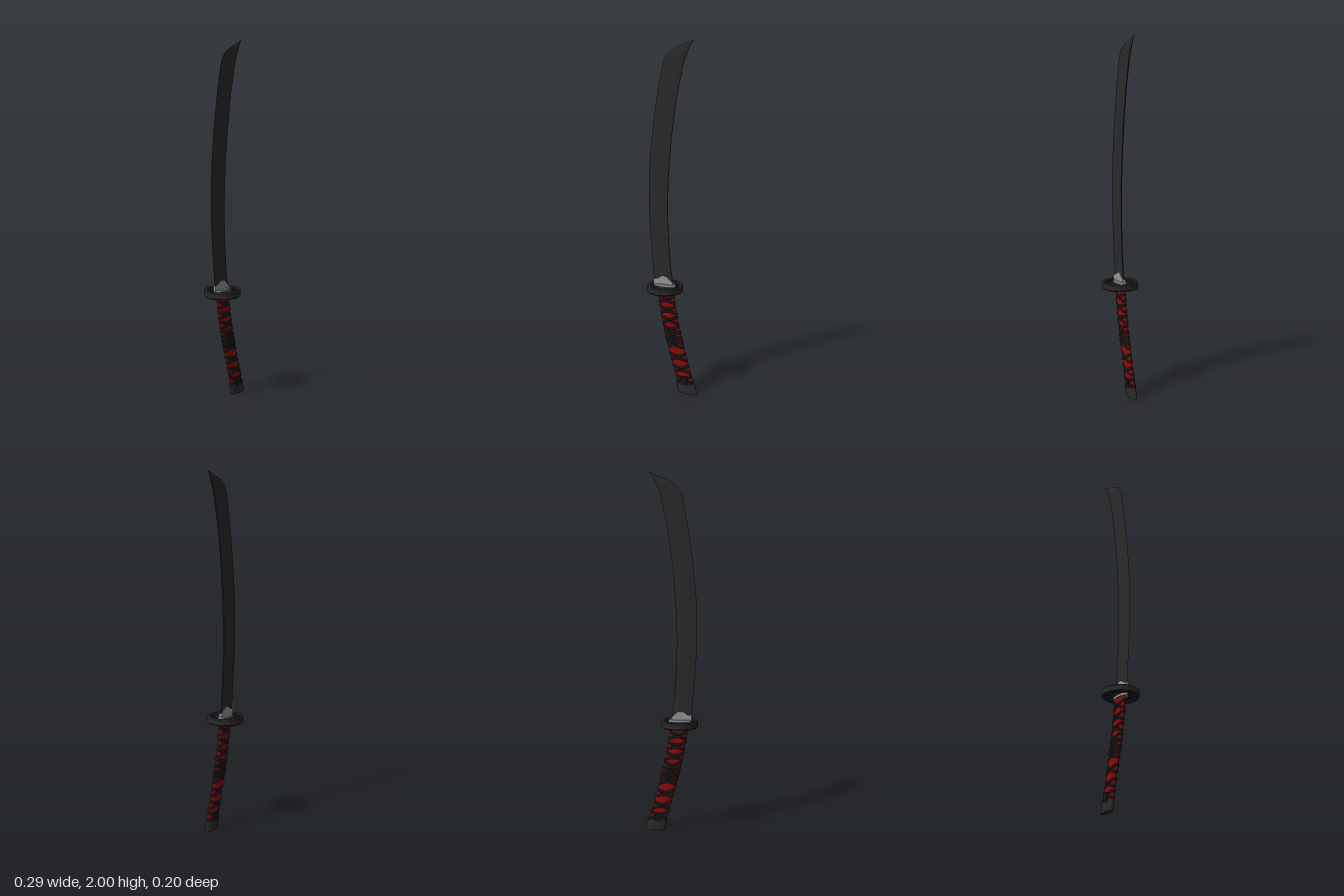
import * as THREE from 'three';

const mat = (color, flatShading = false) => new THREE.MeshStandardMaterial({ color, flatShading });
const BLACK = mat(0x151515), DARK = mat(0x2a2a2a, true), CAP = mat(0x2a2a2a), RED = mat(0x8c0a0a), METAL = mat(0x999999);
const GUARD_X = -0.047;

function add(parent, name, geometry, material) {
  const mesh = new THREE.Mesh(geometry, material);
  mesh.name = name;
  parent.add(mesh);
  return mesh;
}

// Skin through rings of points (anticlockwise seen from above), closed at both ends
function loft(rings) {
  const collapse = (ring) => {
    const c = new THREE.Vector3();
    ring.forEach((p) => c.addScaledVector(p, 1 / ring.length));
    return ring.map(() => c);
  };
  const last = rings[rings.length - 1], n = rings[0].length;
  const all = [collapse(rings[0]), rings[0], ...rings, last, collapse(last)];
  const index = [];
  for (let i = 0; i < all.length - 1; i++) {
    if (i === 1 || i === all.length - 3) continue; // sharp rims
    for (let j = 0; j < n; j++) {
      const a = i * n + j, b = i * n + (j + 1) % n;
      index.push(a, b, a + n, b, b + n, a + n);
    }
  }
  const g = new THREE.BufferGeometry().setFromPoints(all.flat());
  g.setIndex(index);
  g.computeVertexNormals();
  return g;
}

const ellipse = (x, y, rx, rz, n = 28) => Array.from({ length: n }, (_, i) => {
  const a = (i / n) * Math.PI * 2;
  return new THREE.Vector3(x + rx * Math.cos(a), y, -rz * Math.sin(a));
});

// Centre line of the grip: x for a given height
const gripLine = new THREE.SplineCurve([
  [0.09, 0], [0.067, 0.1], [0.025, 0.25], [-0.011, 0.4], [-0.03, 0.5], [-0.044, 0.6],
].map((p) => new THREE.Vector2(...p)));
function gripX(y) {
  let lo = 0, hi = 1;
  for (let i = 0; i < 20; i++) {
    const m = (lo + hi) / 2;
    if (gripLine.getPoint(m).y < y) lo = m; else hi = m;
  }
  return gripLine.getPoint(lo).x;
}

function gripPart(y0, y1, rx, rz, steps) {
  const rings = [];
  for (let i = 0; i <= steps; i++) {
    const y = y0 + (y1 - y0) * i / steps;
    rings.push(ellipse(gripX(y), y, rx, rz));
  }
  return loft(rings);
}

function makeBlade() {
  // Cutting edge and spine, paired from base to tip
  const edge = [[-0.108, 0.6], [-0.12, 0.75], [-0.136, 0.95], [-0.142, 1.1], [-0.138, 1.3], [-0.12, 1.5],
    [-0.092, 1.7], [-0.065, 1.84], [-0.048, 1.9], [-0.02, 1.935], [0.03, 1.963], [0.075, 1.98], [0.12, 2]];
  const spine = [[0.008, 0.6], [-0.014, 0.75], [-0.027, 0.95], [-0.03, 1.1], [-0.022, 1.3], [-0.004, 1.5],
    [0.024, 1.7], [0.047, 1.81], [0.06, 1.87], [0.073, 1.91], [0.09, 1.95], [0.105, 1.98], [0.12, 2]];
  const curve = (list) => new THREE.CatmullRomCurve3(list.map(([x, y]) => new THREE.Vector3(x, y, 0)));
  const e = curve(edge), s = curve(spine), rings = [], steps = 60;
  for (let i = 0; i <= steps; i++) {
    const a = s.getPoint(i / steps), b = e.getPoint(i / steps);
    const half = 0.006 * Math.min(1, a.distanceTo(b) / 0.08);
    const at = (t, z) => a.clone().lerp(b, t).setZ(z * half);
    rings.push([at(0, 0.5), at(0, -0.5), at(0.3, -1), at(1, 0), at(0.3, 1)]);
  }
  return loft(rings);
}

function makeGuard() {
  const guard = new THREE.Group();
  guard.name = 'guard';
  guard.position.set(GUARD_X, 0.615, 0);
  // Faceted rim with bevelled edges
  const rim = [[0.083, -0.015], [0.087, -0.02], [0.097, -0.02], [0.102, -0.014], [0.102, 0.014],
    [0.097, 0.02], [0.087, 0.02], [0.083, 0.015], [0.083, -0.015]];
  add(guard, 'rim', new THREE.LatheGeometry(rim.map((p) => new THREE.Vector2(...p)), 18), DARK);
  const spokeCount = 20;
  for (let i = 0; i < spokeCount; i++) {
    const spoke = new THREE.BoxGeometry(0.075, 0.02, 0.012);
    spoke.translate(0.05, 0, 0).rotateY((i + 0.5) / spokeCount * Math.PI * 2);
    add(guard, 'spoke', spoke, DARK);
  }
  add(guard, 'hub', loft([ellipse(0, -0.012, 0.058, 0.022), ellipse(0, 0.012, 0.058, 0.022)]), DARK);
  // Oval washers above and below
  for (const y of [-0.017, 0.017]) {
    add(guard, 'washer', loft([ellipse(0, y - 0.006, 0.063, 0.024), ellipse(0, y + 0.006, 0.063, 0.024)]), METAL);
  }
  return guard;
}

function makeCollar() {
  const shape = new THREE.Shape();
  shape.moveTo(-0.114, 0.632);
  shape.lineTo(0.003, 0.632);
  shape.lineTo(0, 0.652);
  shape.quadraticCurveTo(-0.018, 0.66, -0.026, 0.674);
  shape.quadraticCurveTo(-0.052, 0.694, -0.078, 0.676);
  shape.quadraticCurveTo(-0.09, 0.662, -0.114, 0.664);
  const g = new THREE.ExtrudeGeometry(shape, { depth: 0.016, bevelEnabled: false, curveSegments: 8 });
  return g.translate(0, 0, -0.008);
}

// One cord loop round the grip, spreading from its band towards the narrow sides
function cord(y, side) {
  const points = [];
  for (let i = 0; i < 24; i++) {
    const a = (i / 24) * Math.PI * 2;
    const h = y + side * (0.007 + 0.013 * Math.cos(a) ** 2);
    points.push(new THREE.Vector3(gripX(h) + 0.043 * Math.cos(a), h, 0.0105 * Math.sin(a)));
  }
  return new THREE.TubeGeometry(new THREE.CatmullRomCurve3(points, true), 48, 0.0095, 6, true);
}

export function createModel() {
  const model = new THREE.Group();
  model.name = 'curvedSword';

  add(model, 'blade', makeBlade(), DARK);
  add(model, 'bladeCollar', makeCollar(), METAL);
  model.add(makeGuard());

  const handle = new THREE.Group();
  handle.name = 'handle';
  model.add(handle);
  add(handle, 'gripCore', gripPart(0.03, 0.6, 0.048, 0.0155, 24), RED);
  for (const y of [0.55, 0.49, 0.43, 0.375, 0.345, 0.315, 0.29, 0.215, 0.145, 0.085]) {
    for (const side of [-1, 1]) add(handle, 'wrapCord', cord(y, side), BLACK);
  }
  add(handle, 'pommelCap', gripPart(0, 0.06, 0.056, 0.0185, 4), CAP);

  // Cord knots on both faces, just above the cap
  for (const z of [-1, 1]) {
    const knot = add(handle, 'knot', new THREE.BoxGeometry(0.036, 0.05, 0.01), BLACK);
    knot.position.set(gripX(0.077), 0.077, z * 0.018);
    knot.rotation.z = 0.2;
  }
  return model;
}
